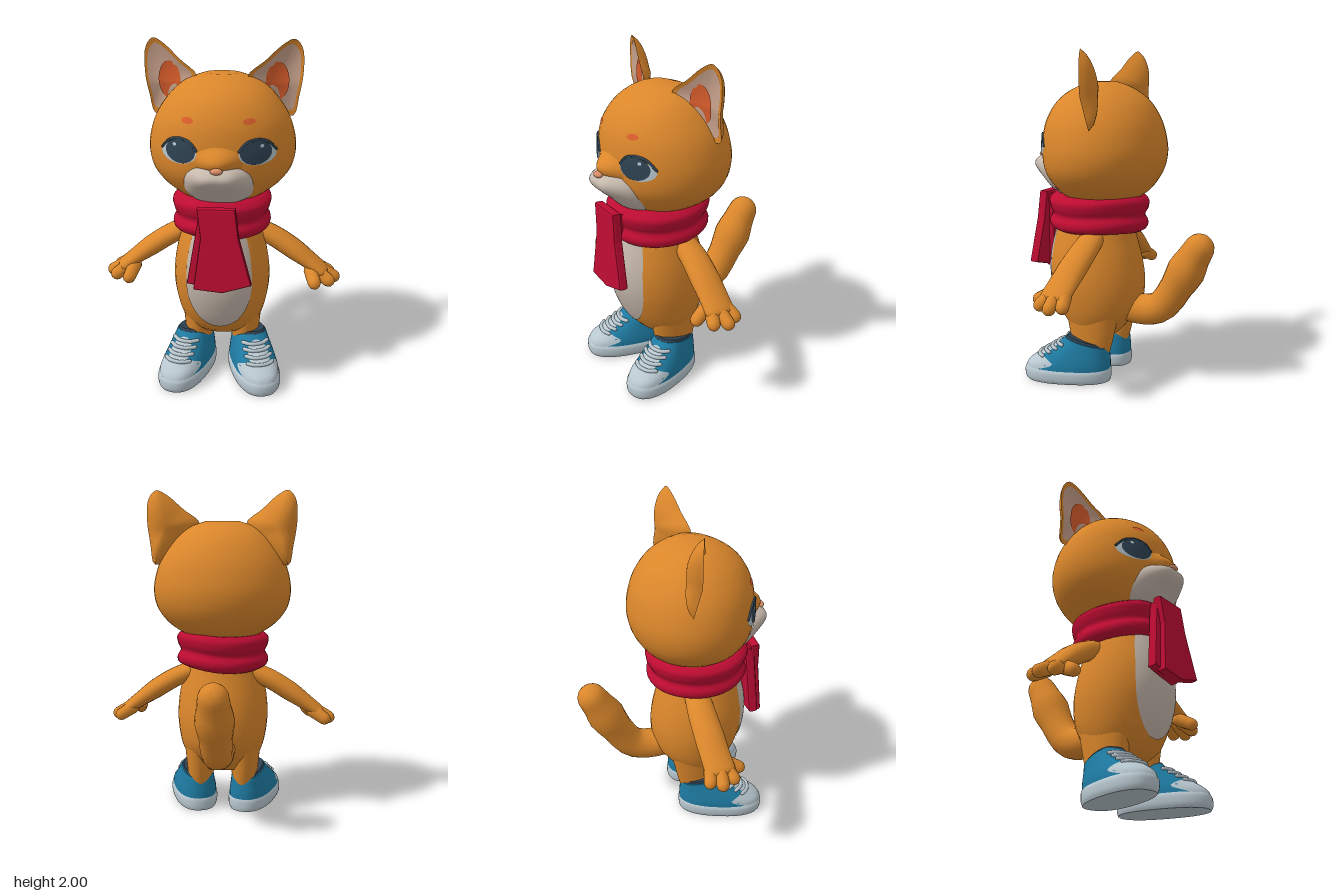
import * as THREE from 'three';
import { mergeVertices, toCreasedNormals } from 'three/addons/utils/BufferGeometryUtils.js';
import { ParametricGeometry } from 'three/addons/geometries/ParametricGeometry.js';

const mat = (name, color) => new THREE.MeshStandardMaterial({ name, color });
const { clamp } = THREE.MathUtils;
const V = (x, y, z) => new THREE.Vector3(x, y, z);
const spow = (c, n) => Math.sign(c) * Math.abs(c) ** (2 / n);

// Smooth surface from a rule (u, v) -> point, welded at seams and poles
function skin(fn, slices, stacks) {
  const g = new ParametricGeometry(fn, slices, stacks);
  g.deleteAttribute('normal');
  g.deleteAttribute('uv');
  return toCreasedNormals(mergeVertices(g, 1e-5), 0.9);
}

// Rows [y, halfWidth, zFront, zBack] read at any height, with smooth slopes
function rowAt(rows, y) {
  y = clamp(y, rows[0][0], rows.at(-1)[0]);
  let i = 0;
  while (i < rows.length - 2 && y > rows[i + 1][0]) i++;
  const a = rows[i], b = rows[i + 1], p = rows[i - 1] ?? a, n = rows[i + 2] ?? b;
  const h = b[0] - a[0], t = (y - a[0]) / h, t2 = t * t, t3 = t2 * t;
  return [1, 2, 3].map((k) => {
    const m0 = (b[k] - p[k]) / (b[0] - p[0]) * h, m1 = (n[k] - a[k]) / (n[0] - a[0]) * h;
    return (2 * t3 - 3 * t2 + 1) * a[k] + (t3 - 2 * t2 + t) * m0 + (3 * t2 - 2 * t3) * b[k] + (t3 - t2) * m1;
  });
}

// Closed solid of stacked oval rows
function loft(rows, { n = 2, slices = 36, stacks = 26, warp } = {}) {
  const y0 = rows[0][0], y1 = rows.at(-1)[0];
  return skin((u, v, p) => {
    const k = Math.round(v * stacks), open = k > 0 && k < stacks ? 1 : 0;
    const y = y0 + (y1 - y0) * clamp((k - 1) / (stacks - 2), 0, 1);
    const [w, zf, zb] = rowAt(rows, y), a = -2 * Math.PI * u;
    p.set(open * w * spow(Math.cos(a), n), y, (zf + zb) / 2 + open * (zf - zb) / 2 * spow(Math.sin(a), n));
    if (warp) warp(p);
  }, slices, stacks);
}

// Front depth of a loft at (x, y)
const frontOf = (rows, n = 2) => (x, y) => {
  const [w, zf, zb] = rowAt(rows, y);
  return (zf + zb) / 2 + (zf - zb) / 2 * Math.max(0, 1 - Math.abs(x / w) ** n) ** (1 / n);
};

// Disc with any outline, laid on a depth rule z(x, y, r)
function patch(outline, [cx, cy], z, { flip = false, slices = 32, rings = 8 } = {}) {
  return skin((u, v, p) => {
    const [ox, oy] = outline((flip ? u : 1 - u) % 1);
    const x = cx + (ox - cx) * v, y = cy + (oy - cy) * v;
    p.set(x, y, z(x, y, v));
  }, slices, rings);
}
// Oval outline; up is the upper radius, n squares it off
const oval = (cx, cy, rx, ry, up = ry, n = 2) => (t) => {
  const a = t * 2 * Math.PI;
  return [cx + rx * spow(Math.cos(a), n), cy + (t < 0.5 ? up : ry) * spow(Math.sin(a), n)];
};

// Round-ended limb through [x, y, z, sideRadius, otherRadius]
function sweep(pts, side = V(0, 0, 1), slices = 14, stacks = 24) {
  const path = new THREE.CatmullRomCurve3(pts.map((p) => V(p[0], p[1], p[2])));
  const radii = new THREE.CatmullRomCurve3(pts.map((p) => V(p[3], p[4] ?? p[3], 0)));
  return skin((u, v, p) => {
    const t = clamp((v - 0.2) / 0.6, 0, 1), e = v < 0.2 ? v / 0.2 : v > 0.8 ? (1 - v) / 0.2 : 1;
    const r = radii.getPoint(t), T = path.getTangent(t);
    const S = side.clone().addScaledVector(T, -side.dot(T)).normalize(), N = T.clone().cross(S);
    const k = Math.sin(e * Math.PI / 2), a = 2 * Math.PI * u;
    const shift = Math.min(r.x, r.y) * Math.cos(e * Math.PI / 2) * (v < 0.5 ? -1 : 1);
    p.copy(path.getPoint(t)).addScaledVector(T, shift)
      .addScaledVector(S, r.x * k * Math.cos(a)).addScaledVector(N, r.y * k * Math.sin(a));
  }, slices, stacks);
}

const BODY = [[0.27, 0.17, 0.28, 0.04], [0.3, 0.2, 0.32, 0.01], [0.36, 0.235, 0.37, -0.04], [0.45, 0.265, 0.42, -0.1],
  [0.6, 0.285, 0.465, -0.12], [0.75, 0.275, 0.47, -0.1], [0.9, 0.24, 0.44, -0.06], [1, 0.21, 0.41, -0.04], [1.15, 0.18, 0.38, 0]];
const HEAD = [[1.12, 0.2, 0.34, -0.06], [1.16, 0.27, 0.39, -0.13], [1.22, 0.345, 0.435, -0.185], [1.3, 0.4, 0.475, -0.23],
  [1.4, 0.42, 0.488, -0.25], [1.5, 0.407, 0.485, -0.24], [1.6, 0.37, 0.465, -0.21], [1.7, 0.3, 0.41, -0.15],
  [1.76, 0.235, 0.34, -0.08], [1.8, 0.165, 0.26, 0], [1.82, 0.1, 0.2, 0.06]];
const SCARF = [[0.925, 0.23, 0.42, -0.09], [0.95, 0.275, 0.46, -0.13], [0.99, 0.285, 0.475, -0.14], [1.03, 0.265, 0.455, -0.12],
  [1.07, 0.28, 0.47, -0.14], [1.12, 0.285, 0.475, -0.145], [1.15, 0.25, 0.44, -0.12]];
const SOLE = [[0, 0.128, 0.53, 0.005], [0.02, 0.138, 0.54, 0], [0.07, 0.139, 0.54, 0], [0.085, 0.13, 0.53, 0.006]];
const UPPER = [[0.07, 0.132, 0.53, 0.004], [0.11, 0.13, 0.51, 0.004], [0.15, 0.122, 0.455, 0.005],
  [0.2, 0.11, 0.375, 0.008], [0.24, 0.102, 0.315, 0.01], [0.27, 0.097, 0.28, 0.015]];
const EAR = [[0.4, 1.56], [0.43, 1.68], [0.45, 1.82], [0.44, 1.95], [0.395, 2], [0.33, 1.97], [0.24, 1.89], [0.14, 1.8], [0.28, 1.62]];

export function createModel() {
  const model = new THREE.Group();
  model.name = 'cat';
  const fur = mat('orange fur', 0xdb872b), cream = mat('cream fur', 0xc6b8ac), earSkin = mat('ear lining', 0xc9a28c);
  const coral = mat('coral', 0xdc5e2c), nosePink = mat('nose', 0xdb8f68), slate = mat('slate', 0x2f4353);
  const red = mat('scarf red', 0xbe0c32), blue = mat('shoe blue', 0x1e7aa1), white = mat('shoe white', 0xb8c7cf);

  const add = (name, geo, m) => {
    const mesh = new THREE.Mesh(geo, m);
    mesh.name = name;
    model.add(mesh);
  };
  // The same part on both sides; reversed vertex order keeps faces outward
  const pair = (name, geo, m) => {
    add(name + 'Left', geo, m);
    const other = geo.clone().scale(-1, 1, 1);
    other.setIndex([...Array(other.attributes.position.count).keys()].reverse());
    add(name + 'Right', other, m);
  };

  // Body, belly and tail
  const bodyZ = frontOf(BODY), headZ = frontOf(HEAD);
  add('body', loft(BODY), fur);
  add('belly', patch(oval(0, 0.66, 0.19, 0.3, 0.46), [0, 0.66], (x, y) => bodyZ(x, y) + 0.006, { rings: 14 }), cream);
  add('tail', sweep([[0, 0.46, 0, 0.1], [0, 0.44, -0.13, 0.095], [0, 0.475, -0.25, 0.096], [0, 0.63, -0.36, 0.1],
    [0, 0.78, -0.44, 0.1], [0, 0.86, -0.485, 0.09]], V(1, 0, 0), 18), fur);

  // Head, muzzle and nose
  add('head', loft(HEAD, { slices: 44, stacks: 32 }), fur);
  const bump = (x, y) => Math.exp(-(x * x + (y - 1.32) ** 2) / 0.0065);
  add('muzzle', patch(oval(0, 1.253, 0.19, 0.132, 0.132, 2.5), [0, 1.253], (x, y, r) => headZ(x, y) + 0.004
    + (1 - r ** 8) * (0.04 + 0.055 * (bump(x - 0.065, y) + bump(x + 0.065, y))), { slices: 40, rings: 16 }), cream);
  add('noseBridge', patch(oval(0, 1.4, 0.14, 0.085), [0, 1.4],
    (x, y, r) => headZ(x, y) - 0.002 + 0.065 * (1 - r * r) ** 1.5, { rings: 10 }), fur);
  add('nose', new THREE.SphereGeometry(1, 20, 12).scale(0.034, 0.018, 0.022).translate(0, 1.372, 0.555), nosePink);

  // Eyes and brows laid on the face
  const onFace = (cx, cy, rx, ry, lift) => patch(oval(cx, cy, rx, ry), [cx, cy], (x, y) => headZ(x, y) + lift);
  pair('eyeWhite', onFace(0.212, 1.44, 0.1, 0.06, 0.004), white);
  pair('iris', onFace(0.203, 1.45, 0.084, 0.066, 0.008), slate);
  pair('eyeGlint', onFace(0.235, 1.485, 0.01, 0.009, 0.011), white);
  pair('eyelid', sweep([[0.115, 1.46], [0.15, 1.502], [0.21, 1.518], [0.265, 1.502], [0.308, 1.455]]
    .map(([x, y]) => [x, y, headZ(x, y) + 0.002, 0.008]), V(0, 0, 1), 8), slate);
  pair('brow', onFace(0.165, 1.613, 0.033, 0.016, 0.005), coral);

  // Ears: bulged back, hollow front, lining and coral centre
  const rim = new THREE.CatmullRomCurve3(EAR.map(([x, y]) => V(x, y, 0)), true);
  const c = [0.33, 1.79];
  const earLine = (s) => (t) => {
    const p = rim.getPoint(t);
    return [c[0] + (p.x - c[0]) * s, c[1] + (p.y - c[1]) * s];
  };
  const earPlane = (x, y) => 0.06 + (0.45 - x) * 0.33 + 0.25 * Math.min(0, y - 1.75);
  const hollow = (s, lift) => (x, y, r) => earPlane(x, y) - 0.04 * (1 - (r * s) ** 2) + lift;
  pair('earBack', patch(earLine(1), c, (x, y, r) => earPlane(x, y) - 0.095 * (1 - r * r) ** 0.75, { flip: true }), fur);
  pair('earFront', patch(earLine(1), c, hollow(1, 0)), fur);
  pair('earLining', patch(earLine(0.86), c, hollow(0.86, 0.005)), earSkin);
  pair('earCentre', patch(oval(0.305, 1.765, 0.066, 0.11), [0.305, 1.765], hollow(0.55, 0.01)), coral);

  // Arms and paws
  pair('arm', sweep([[0.18, 0.905, 0.12, 0.075, 0.055], [0.3, 0.85, 0.12, 0.085, 0.06], [0.42, 0.775, 0.13, 0.09, 0.06],
    [0.52, 0.705, 0.14, 0.09, 0.048], [0.595, 0.65, 0.15, 0.092, 0.04]], V(0, 0, 1), 18), fur);
  [[[0.58, 0.655, 0.15], [0.67, 0.605, 0.145]], [[0.57, 0.655, 0.1], [0.64, 0.612, 0.078]],
    [[0.57, 0.65, 0.19], [0.635, 0.61, 0.22]], [[0.53, 0.66, 0.19], [0.55, 0.615, 0.275]]]
    .forEach(([a, b], i) => pair('finger' + (i + 1), sweep([[...a, 0.042], [...b, 0.038]], V(0, 0.3, 1), 12, 16), fur));

  // Scarf wrap and its two hanging ends
  add('scarfWrap', loft(SCARF, { stacks: 24, warp: (p) => { p.y += 0.01 * Math.sin(9 * p.x + 5 * p.z); } }), red);
  const hanging = (pts, z, depth) => new THREE.ExtrudeGeometry(new THREE.Shape(pts.map(([x, y]) => new THREE.Vector2(x, y - 1.15))),
    { depth, bevelThickness: 0.014, bevelSize: 0.01, bevelSegments: 2 }).rotateX(-0.06).translate(0, 1.15, z);
  add('scarfEndBack', hanging([[-0.09, 1.12], [-0.16, 0.71], [0.03, 0.67], [0.07, 1.12]], 0.455, 0.03), red);
  add('scarfEndFront', hanging([[-0.1, 1.14], [-0.08, 0.98], [-0.12, 0.69], [0.03, 0.675], [0.18, 0.72], [0.11, 0.98], [0.09, 1.14]], 0.488, 0.03), red);

  // Legs and shoes, toes turned outward
  pair('leg', loft([[0.16, 0.078, 0.27, 0.04], [0.25, 0.085, 0.29, 0.015], [0.42, 0.1, 0.32, -0.02]], { stacks: 10 })
    .translate(0.142, 0, 0), fur);
  const place = (g) => g.rotateY(0.3).translate(0.122, 0, 0.03);
  const shoeZ = frontOf(UPPER, 2.4);
  const lowHeel = (p) => { p.y -= 0.06 * clamp((0.25 - p.z) / 0.25, 0, 1) * clamp((p.y - 0.1) / 0.17, 0, 1); };
  const onShoe = (cy, rx, ry, lift) => place(patch(oval(0, cy, rx, ry), [0, cy], (x, y) => shoeZ(x, y) + lift));
  pair('sole', place(loft(SOLE, { n: 2.4, stacks: 10 })), white);
  pair('shoeUpper', place(loft(UPPER, { n: 2.4, stacks: 16, warp: lowHeel })), blue);
  pair('shoeLining', place(loft([[0.255, 0.094, 0.288, 0.022], [0.284, 0.086, 0.27, 0.03]],
    { n: 2.4, stacks: 5, warp: lowHeel })), slate);
  pair('toeCap', onShoe(0.115, 0.124, 0.06, 0.007), white);
  pair('tongue', onShoe(0.185, 0.062, 0.065, 0.005), white);
  [0.16, 0.185, 0.21, 0.235].forEach((y, i) => pair('lace' + (i + 1), place(sweep([-0.075, -0.04, 0, 0.04, 0.075]
    .map((x) => [x, y, shoeZ(x, y) + 0.008, 0.012]), V(0, 1, 0), 8, 16)), white));
  return model;
}
